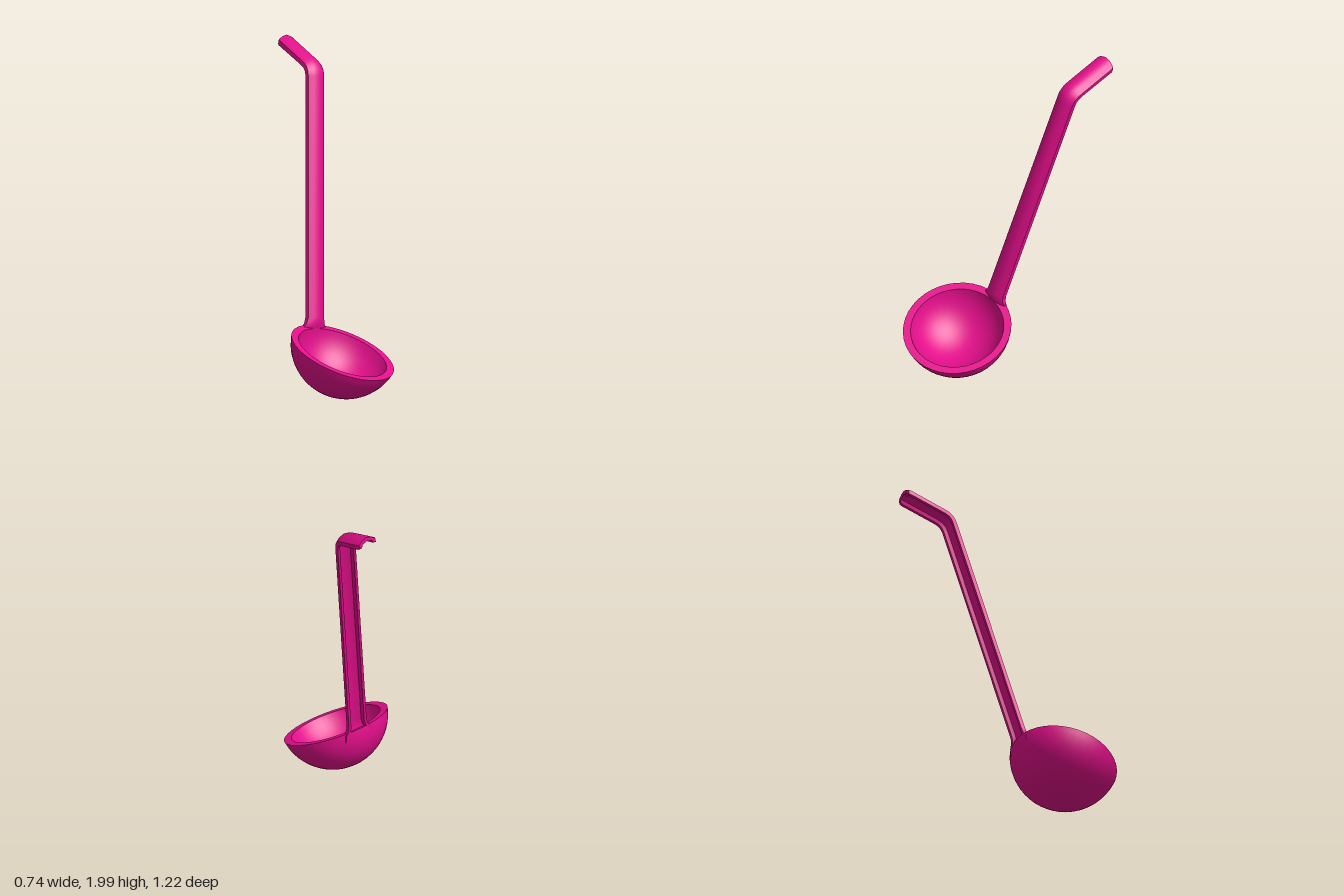
import * as THREE from 'three';
import { toCreasedNormals } from 'three/addons/utils/BufferGeometryUtils.js';

const V = (x, y, z) => new THREE.Vector3(x, y, z);

// Shared directions: the rim's normal and the handle's width axis
const rimNormal = V(0.167, 0.93, 0.326).normalize();
const across = V(0.981, -0.189, 0.028).normalize();

// Thick spherical cap, turned about its own axis
function bowlGeometry() {
  const outer = 0.333, inner = 0.288, cut = 0.062, steps = 14;
  const arc = (r) => Array.from({ length: steps + 1 }, (_, i) => {
    const a = (i / steps) * Math.acos(cut / r);
    return new THREE.Vector2(r * Math.sin(a), -r * Math.cos(a));
  });
  const profile = [...arc(outer), ...arc(inner).reverse()];
  return toCreasedNormals(new THREE.LatheGeometry(profile, 40), 0.7);
}

// Crowned front face with a shallow channel behind: [across, forward]
const section = [
  [0.063, -0.028], [0.063, -0.001], [0.032, 0.019], [0, 0.027],
  [-0.032, 0.019], [-0.063, -0.001], [-0.063, -0.028],
  [-0.046, -0.028], [-0.036, -0.008], [0, 0.003], [0.036, -0.008], [0.046, -0.028],
];

function handleGeometry() {
  const base = V(-0.016, 0.41, 0.021), bend = V(0.275, 1.866, -0.302), tip = V(0.303, 1.966, -0.604);
  const up = bend.clone().sub(base).normalize();
  const back = tip.clone().sub(bend).normalize();
  const curve = new THREE.QuadraticBezierCurve3(
    bend.clone().addScaledVector(up, -0.06), bend, bend.clone().addScaledVector(back, 0.06));
  const endDir = V(0.1, 0.03, -1).normalize();

  // Rings: centre, direction, width scale, thickness scale
  const rings = [
    [V(-0.03, 0.32, 0.012), up, 1.5, 0.5],
    [V(-0.024, 0.365, 0.016), up, 1.4, 0.75],
    [V(-0.02, 0.39, 0.02), up, 1.12, 0.95],
    [base.clone().addScaledVector(up, 0.015), up, 1, 1],
  ];
  for (let i = 0; i <= 6; i++) rings.push([curve.getPoint(i / 6), curve.getTangent(i / 6), 1, 1]);
  rings.push([tip.clone().addScaledVector(back, -0.012), endDir, 1, 1.1]);
  rings.push([tip, endDir, 0.9, 1]);

  const pos = [], index = [], n = section.length;
  for (const [p, t, sw, sf] of rings) {
    const forward = across.clone().cross(t).normalize();
    for (const [w, f] of section) {
      pos.push(...p.clone().addScaledVector(across, w * sw).addScaledVector(forward, f * sf).toArray());
    }
  }
  for (let r = 0; r < rings.length - 1; r++) {
    for (let k = 0; k < n; k++) {
      const a = r * n + k, b = r * n + (k + 1) % n;
      index.push(a, a + n, b, b, a + n, b + n);
    }
  }
  // End caps
  const last = (rings.length - 1) * n;
  const outline = section.map(([w, f]) => new THREE.Vector2(w, f));
  for (const [a, b, c] of THREE.ShapeUtils.triangulateShape(outline, [])) {
    index.push(a, b, c, last + a, last + c, last + b);
  }
  const geo = new THREE.BufferGeometry();
  geo.setAttribute('position', new THREE.Float32BufferAttribute(pos, 3));
  geo.setIndex(index);
  return toCreasedNormals(geo, 0.6);
}

export function createModel() {
  const group = new THREE.Group();
  group.name = 'ladle';
  const pink = new THREE.MeshStandardMaterial({ color: 0xe50f8c });
  pink.name = 'magenta plastic';

  const bowl = new THREE.Mesh(bowlGeometry(), pink);
  bowl.name = 'bowl';
  bowl.position.set(-0.045, 0.333, 0.32);
  bowl.quaternion.setFromUnitVectors(V(0, 1, 0), rimNormal);

  const handle = new THREE.Mesh(handleGeometry(), pink);
  handle.name = 'handle';

  group.add(bowl, handle);
  return group;
}
